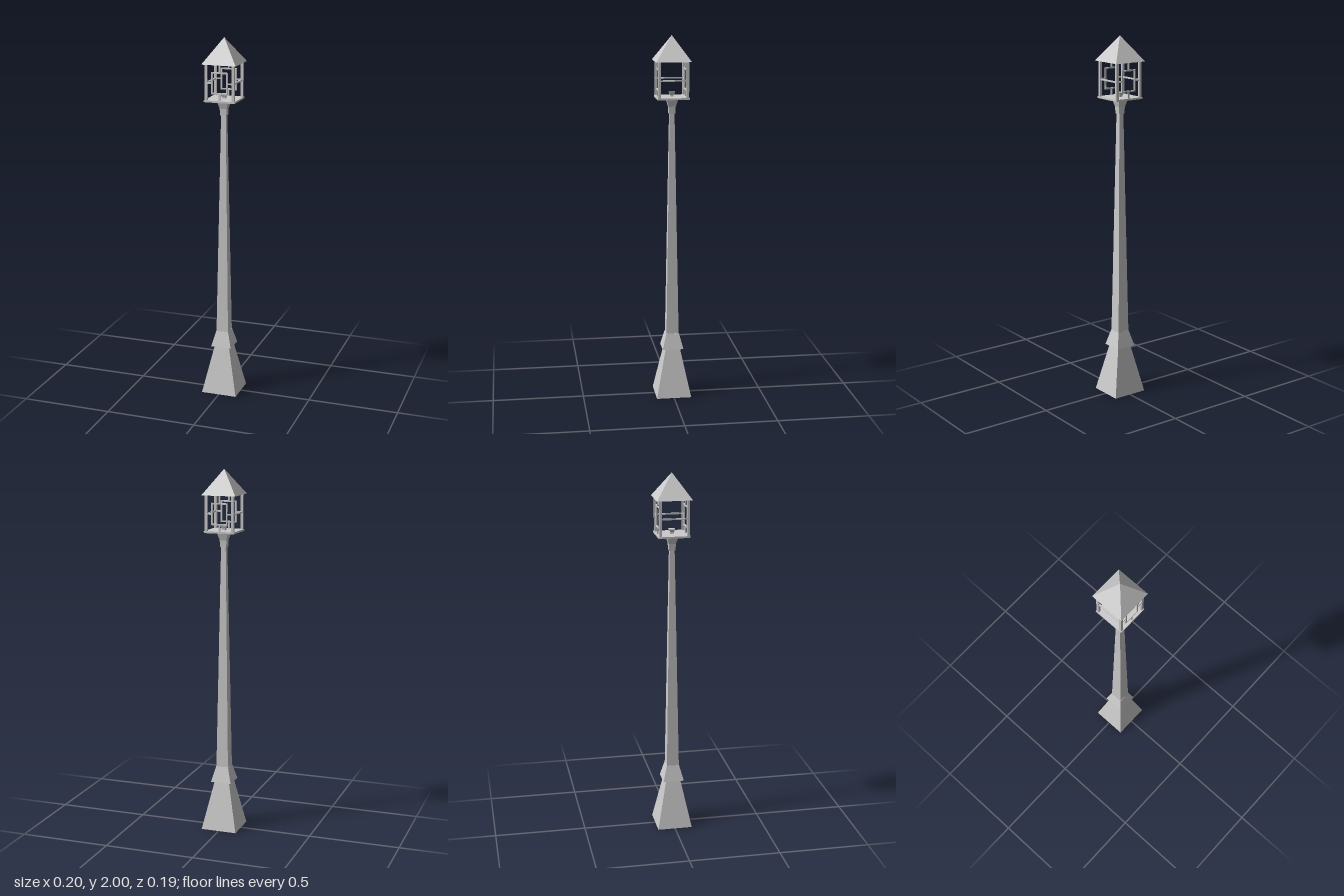
import * as THREE from 'three';

const grey = new THREE.MeshStandardMaterial({ color: 0xcccccc, flatShading: true });
const greyOpen = new THREE.MeshStandardMaterial({ color: 0xcccccc, flatShading: true, side: THREE.DoubleSide });

// Four-sided taper from y0 to y1; half widths at bottom and top
function taper(name, y0, y1, bottom, top, open = false) {
  const g = new THREE.CylinderGeometry(top * Math.SQRT2, bottom * Math.SQRT2, y1 - y0, 4, 1, open);
  g.rotateY(Math.PI / 4).translate(0, (y0 + y1) / 2, 0);
  const m = new THREE.Mesh(g, open ? greyOpen : grey);
  m.name = name;
  return m;
}

function bar(name, w, h, d, x, y, z) {
  const m = new THREE.Mesh(new THREE.BoxGeometry(w, h, d), grey);
  m.name = name;
  m.position.set(x, y, z);
  return m;
}

export function createModel() {
  const lamp = new THREE.Group();
  lamp.name = 'streetLamp';

  // Foot, hollow underneath
  const base = taper('base', 0, 0.27, 0.1, 0.042, true);
  base.scale.z = 0.96;
  lamp.add(base);

  // Collar, pole and flared neck
  lamp.add(
    taper('collar', 0.27, 0.357, 0.058, 0.035),
    taper('pole', 0.355, 1.6, 0.034, 0.013),
    taper('neck', 1.585, 1.622, 0.017, 0.019),
    taper('neckFlare', 1.622, 1.666, 0.019, 0.032)
  );

  // Lantern floor, burner and roof
  lamp.add(
    bar('lanternFloor', 0.17, 0.01, 0.17, 0, 1.67, 0),
    taper('burnerStem', 1.674, 1.687, 0.009, 0.009),
    taper('burnerCup', 1.685, 1.7, 0.011, 0.016),
    taper('roof', 1.865, 2, 0.095, 0)
  );

  const p = 0.075; // distance of posts and glazing bars from the axis
  const t = 0.008; // glazing bar thickness
  for (const s of [-1, 1]) {
    // Corner posts
    for (const q of [-1, 1]) lamp.add(bar('post', 0.014, 0.195, 0.014, s * p, 1.77, q * p));

    // Rail across each side
    lamp.add(bar('sideRail', t, t, 2 * p, s * p, 1.766, 0));

    // Square window frame with four short stays, front and back
    const frame = new THREE.Group();
    frame.name = s > 0 ? 'frontFrame' : 'backFrame';
    for (const q of [-1, 1]) {
      frame.add(
        bar('frameUpright', t, 0.118, t, q * 0.041, 0, 0),
        bar('frameCrossbar', 0.082, t, t, 0, q * 0.055, 0),
        bar('sideStay', 0.032, t, t, q * 0.058, 0, 0),
        bar('verticalStay', t, 0.046, t, 0, q * 0.077, 0)
      );
    }
    frame.position.set(0, 1.767, s * p);
    lamp.add(frame);
  }
  return lamp;
}
